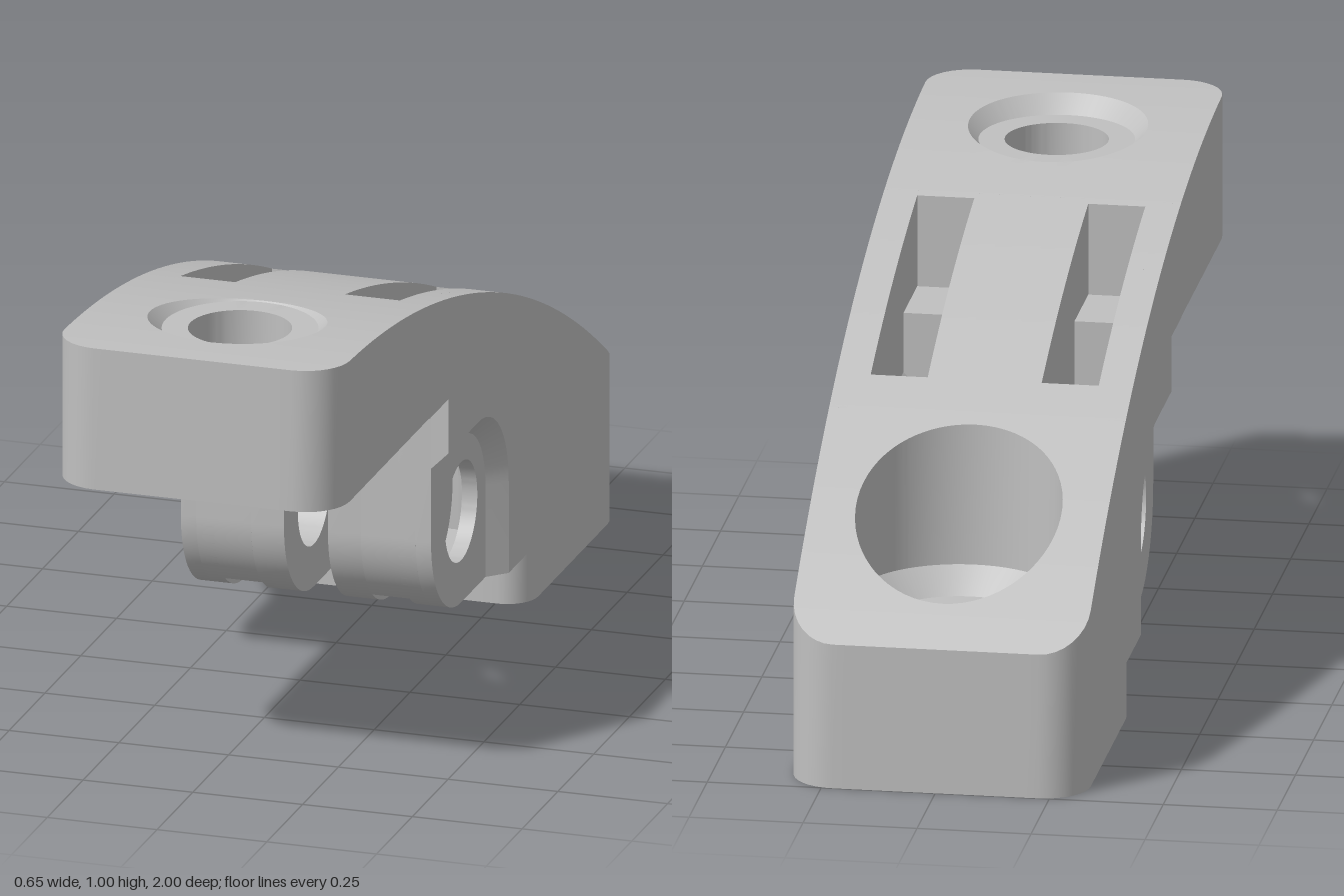
import * as THREE from 'three';
import { toCreasedNormals } from 'three/addons/utils/BufferGeometryUtils.js';

const W = 0.325, PIN_Y = 0.335, PIN_R = 0.113, KNUCKLE_R = 0.21, Z0 = -0.345, Z1 = 0.345, PI = Math.PI;
// height of the arched top at depth z
const top = z => 0.997 - 3.32 + Math.sqrt(3.32 ** 2 - (1 - z) ** 2);

// points (z, y) on an arc about the pin
function arc(r, a0, a1, n = 16) {
  return Array.from({ length: n + 1 }, (_, i) => {
    const a = a0 + (a1 - a0) * i / n;
    return [r * Math.cos(a), PIN_Y + r * Math.sin(a)];
  });
}

// closes a lower outline with the arched top
function underArch(pts) {
  const a = pts[pts.length - 1][0], b = pts[0][0], out = [...pts];
  for (let i = 0; i <= 24; i++) {
    const z = a + (b - a) * i / 24;
    out.push([z, top(z)]);
  }
  return out;
}

// skins rings of points; always turned to face outwards
function loft(rings) {
  const tris = [];
  let volume = 0;
  const add = (a, b, c) => {
    const [A, B, C] = [a, b, c].map(p => new THREE.Vector3(...p));
    const n = B.clone().sub(A).cross(C.clone().sub(A));
    if (n.length() < 1e-10) return;
    volume += A.dot(n);
    tris.push([a, b, c]);
  };
  for (let i = 0; i + 1 < rings.length; i++) {
    const p = rings[i], q = rings[i + 1];
    p.forEach((a, j) => {
      const k = (j + 1) % p.length;
      add(a, p[k], q[k]);
      add(a, q[k], q[j]);
    });
  }
  if (volume < 0) tris.forEach(t => t.reverse());
  const g = new THREE.BufferGeometry();
  g.setAttribute('position', new THREE.Float32BufferAttribute(tris.flat(2), 3));
  return toCreasedNormals(g, 0.5);
}

// rounded rectangle loop in (x, z), r0 at the z0 end and r1 at the z1 end
function contour(z0, z1, w, r0, r1) {
  const corners = [[1, z1, r1, -1], [1, z0, r0, 1], [-1, z0, r0, 1], [-1, z1, r1, -1]].map(([s, z, r, dz], k) =>
    Array.from({ length: 9 }, (_, i) => {
      const a = (k + i / 8) * PI / 2;
      return [s * (w - r) + r * Math.sin(a), z + dz * r + r * Math.cos(a)];
    }));
  return corners.flatMap((c, k) => {
    const a = c[8], b = corners[(k + 1) % 4][0], edge = [];
    for (let i = 1; i < 14; i++) edge.push([a[0] + (b[0] - a[0]) * i / 14, a[1] + (b[1] - a[1]) * i / 14]);
    return [...c, ...edge];
  });
}

// hollow end block with a recessed screw hole, an open pocket below and a boss
function endBlock({ z0, z1, r0, r1, centre, base, seat, sink, pocket, roof }) {
  const outer = contour(z0, z1, W, r0, r1);
  const inner = contour(pocket[0], pocket[1], W - 0.05, 0.05, 0.05);
  const angles = outer.map(([x, z]) => Math.atan2(x, z - centre));
  const at = (loop, y) => loop.map(([x, z]) => [x, typeof y === 'function' ? y(z) : y, z]);
  const circle = r => angles.map(a => [r * Math.sin(a), centre + r * Math.cos(a)]);
  // rim: straight counterbore, or the cone where it meets the arch
  const rim = angles.map(a => {
    let r = sink;
    if (!sink) {
      r = 0.18;
      for (let i = 0; i < 30; i++) r = Math.max(0.17, 0.17 + top(centre + r * Math.cos(a)) - seat);
    }
    return [r * Math.sin(a), centre + r * Math.cos(a)];
  });
  const rings = [at(outer, base)];
  for (let i = 0; i <= 8; i++) {
    const t = i / 8;
    rings.push(at(outer.map((p, j) => [p[0] + (rim[j][0] - p[0]) * t, p[1] + (rim[j][1] - p[1]) * t]), top));
  }
  if (sink) rings.push(at(circle(sink), seat + sink - 0.17));
  rings.push(at(circle(0.17), seat), at(circle(PIN_R), seat), at(circle(PIN_R), base + 0.035),
    at(circle(0.165), base + 0.035), at(circle(0.165), roof), at(inner, roof), at(inner, base), at(outer, base));
  return loft(rings);
}

export function createModel() {
  const model = new THREE.Group();
  const grey = new THREE.MeshStandardMaterial({ color: 0xc0c0c0 });
  grey.name = 'light grey';
  const add = (name, geometry) => {
    const m = new THREE.Mesh(geometry, grey);
    m.name = name;
    model.add(m);
    return m;
  };

  // side profile extruded across x
  const slab = (name, x0, x1, pts, pinHole) => {
    const shape = new THREE.Shape(pts.map(p => new THREE.Vector2(...p)));
    if (pinHole) shape.holes.push(new THREE.Path().absarc(0, PIN_Y, PIN_R, 0, PI * 2, true));
    const g = new THREE.ExtrudeGeometry(shape, { depth: x1 - x0, bevelEnabled: false, curveSegments: 40 });
    g.rotateY(-PI / 2).translate(x1, 0, 0);
    add(name, toCreasedNormals(g, 0.5));
  };
  const pair = (name, x0, x1, pts, pinHole) => {
    slab(name + 'Left', x0, x1, pts, pinHole);
    slab(name + 'Right', -x1, -x0, pts, pinHole);
  };

  // profiles of the middle section, as (z, y)
  const nose = [[KNUCKLE_R, 0.67], [Z1, 0.67]];
  const full = zb => underArch([[zb, 0.125], ...arc(KNUCKLE_R, -PI / 2, 0), ...nose]);
  const bridge = underArch([[Z0, 0.125], [-0.21, 0.125], [-0.21, 0.62], [-0.16, 0.67], [Z1, 0.67]]);
  const slotBack = underArch([[Z0, 0.125], [-0.17, 0.125], [-0.17, 0.17], [-0.32, 0.17]]);
  const slotFront = underArch([[0.32, 0.72], [0.13, 0.72], ...arc(KNUCKLE_R, -0.904, 0), ...nose]);
  const ear = [[-0.21, 0.125], ...arc(0.21, PI, PI / 2), [0.21, 0.545], ...arc(KNUCKLE_R, 0, -PI / 2)];
  const cheek = underArch([[-0.42, 0.125], [-0.21, 0.125], ...arc(0.21, PI, PI / 2), [0.21, 0.545], ...nose]);

  // middle section, from the centre outwards
  slab('centreBridge', -0.05, 0.05, bridge);
  pair('innerKnuckle', 0.05, 0.125, full(Z0), true);
  pair('slotBack', 0.125, 0.25, slotBack);
  pair('slotFront', 0.125, 0.25, slotFront);
  pair('pinTube', 0.125, 0.21, arc(0.17, 0, PI * 2, 48).slice(0, -1), true);
  pair('earPlate', 0.21, 0.25, ear, true);
  pair('outerKnuckle', 0.25, 0.285, full(-0.37), true);
  pair('sideCheek', 0.285, W, cheek);

  // chamfers that follow the arch of the side recess, outside and inside
  const chamfer = (name, section) => {
    for (const s of [1, -1]) {
      const paths = section.map(([r, x]) =>
        [[-r, 0.125], ...arc(r, PI, PI / 2), [0.21, PIN_Y + r]].map(([z, y]) => [s * x, y, z]));
      const rings = paths[0].map((_, i) => paths.map(p => p[i]));
      const end = rings[rings.length - 1];
      add(name + (s > 0 ? 'Left' : 'Right'),
        loft([rings[0].map(() => rings[0][0]), ...rings, end.map(() => end[0])]));
    }
  };
  chamfer('recessChamfer', [[0.17, 0.285], [0.21, 0.285], [0.21, W]]);
  chamfer('slotChamfer', [[0.21, 0.21], [0.21, 0.25], [0.25, 0.25]]);

  // end blocks with screw holes, and the ribs around their bosses
  const blocks = {
    front: { z0: 0.34, z1: 1, r0: 0.002, r1: 0.1, centre: 0.67, base: 0.672, seat: 0.956, sink: 0,
      pocket: [0.39, 0.95], roof: 0.88 },
    back: { z0: -1, z1: Z0, r0: 0.1, r1: 0.07, centre: -0.675, base: 0, seat: 0.29, sink: 0.225,
      pocket: [-0.95, -0.395], roof: 0.2 },
  };
  for (const [name, b] of Object.entries(blocks)) {
    add(name + 'Block', endBlock(b));
    const h = b.roof - b.base - 0.03;
    for (let k = 0; k < 4; k++) {
      const a = k * PI / 2, r = 0.22;
      const rib = add(name + 'Rib', new THREE.BoxGeometry(0.04, h, 0.13));
      rib.position.set(r * Math.sin(a), b.base + 0.035 + h / 2, b.centre + r * Math.cos(a));
      rib.rotation.y = a;
    }
  }
  return model;
}
